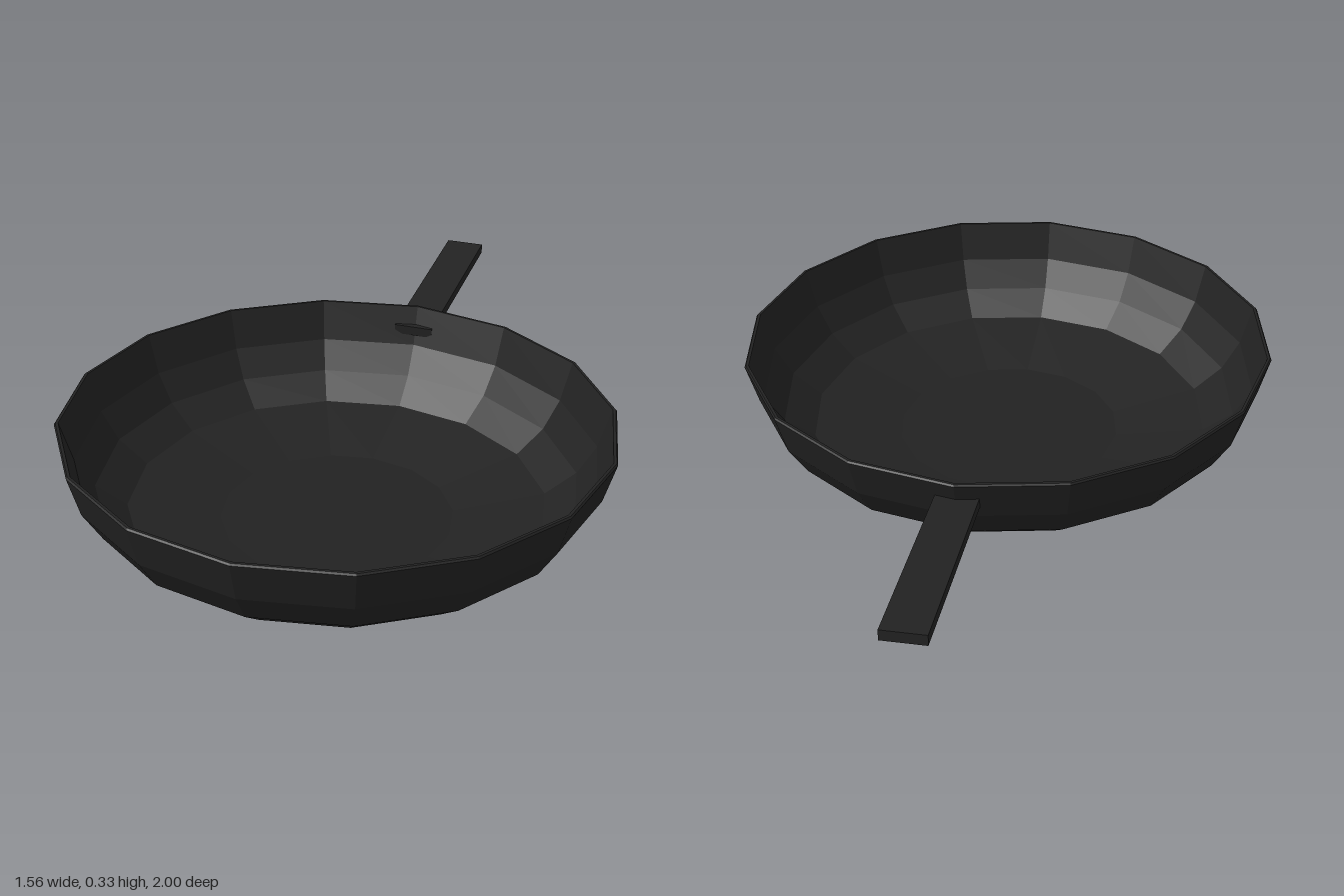
import * as THREE from 'three';

export function createModel() {
  const model = new THREE.Group();
  model.name = 'fryingPan';
  const castIron = new THREE.MeshStandardMaterial({ color: 0x222222 });
  castIron.name = 'cast iron';

  // Pan: closed shell profile [radius, height], up the outside and down the inside
  const profile = [
    [0, 0], [0.338, 0], [0.606, 0.05], [0.697, 0.12], [0.752, 0.21], [0.785, 0.328], [0.781, 0.333],
    [0.773, 0.333], [0.738, 0.215], [0.685, 0.13], [0.598, 0.064], [0.335, 0.015], [0, 0.015],
  ].map(([r, y]) => new THREE.Vector2(r, y));
  const panGeometry = new THREE.LatheGeometry(profile, 16, THREE.MathUtils.degToRad(15.6)).toNonIndexed();
  panGeometry.computeVertexNormals(); // faceted sides
  const pan = new THREE.Mesh(panGeometry, castIron);
  pan.name = 'pan';
  pan.position.z = 0.22;
  model.add(pan);

  // Handle: flat bar running through the wall, rising to its tip
  const start = new THREE.Vector3(0.36, 0.262, -0.425);
  const tip = new THREE.Vector3(0.665, 0.308, -0.971);
  const handle = new THREE.Mesh(new THREE.BoxGeometry(0.12, 0.03, start.distanceTo(tip)), castIron);
  handle.name = 'handle';
  handle.position.copy(start).lerp(tip, 0.5);
  handle.lookAt(tip);
  model.add(handle);

  return model;
}
